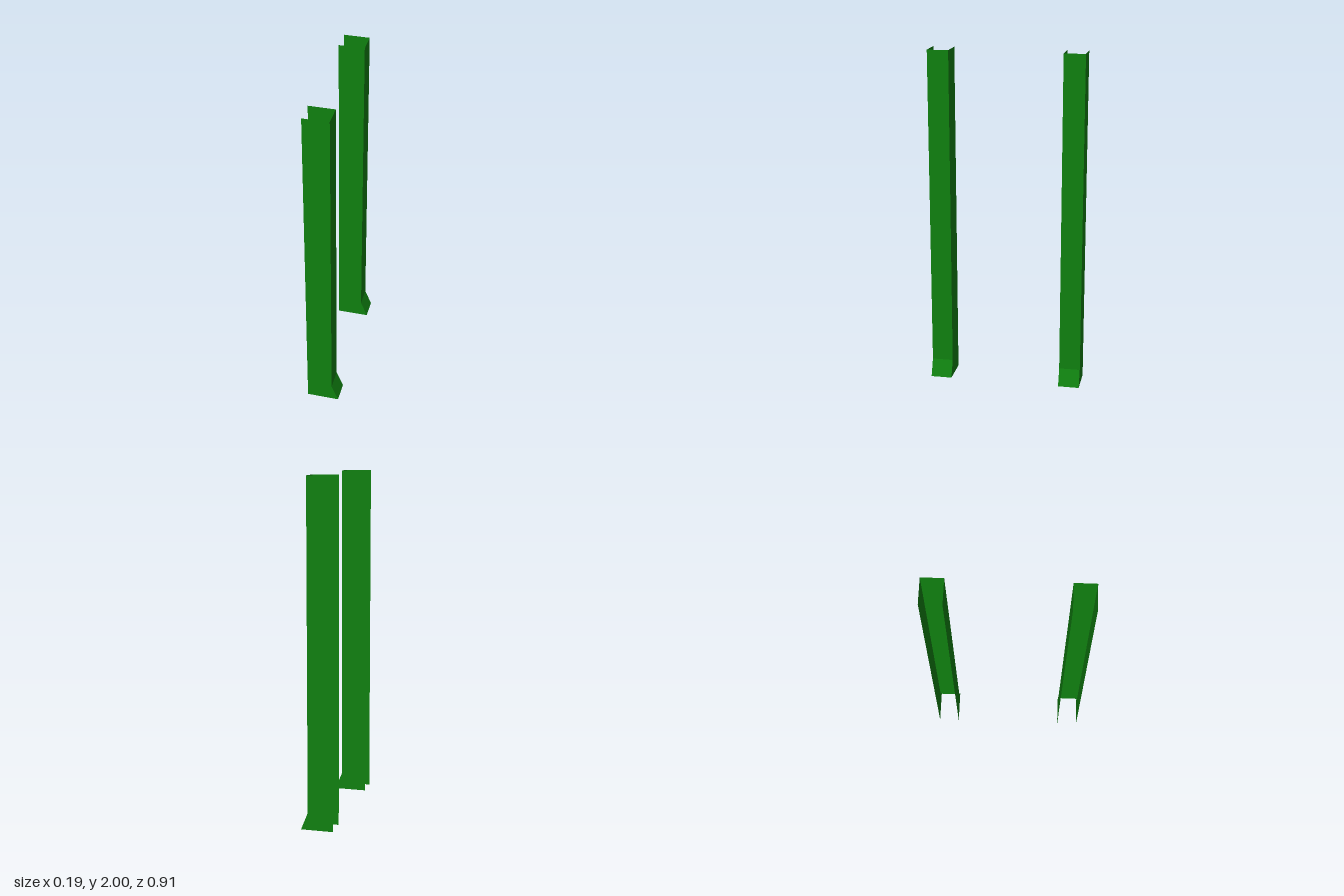
import * as THREE from 'three';

const HEIGHT = 2, KICK = 0.1;                  // post height, height of the flared foot
const BACK = -0.095, FRONT = 0.055, TOE = 0.095; // x of open edge, web and foot tip
const INNER = 0.33, OUTER = 0.455;             // z of the two flanges of a post

const green = new THREE.MeshStandardMaterial({
  color: 0x108010, flatShading: true, side: THREE.DoubleSide,
});

function addMesh(group, name, geometry) {
  const mesh = new THREE.Mesh(geometry, green);
  mesh.name = name;
  group.add(mesh);
  return mesh;
}

// Thin side plate whose lower front corner flares out
function flangeGeometry() {
  return new THREE.ShapeGeometry(new THREE.Shape([
    new THREE.Vector2(BACK, 0),
    new THREE.Vector2(TOE, 0),
    new THREE.Vector2(FRONT, KICK),
    new THREE.Vector2(FRONT, HEIGHT),
    new THREE.Vector2(BACK, HEIGHT),
  ]));
}

// Thin plate joining the flanges, bent outward at the foot
function webGeometry() {
  const geometry = new THREE.PlaneGeometry(OUTER - INNER, HEIGHT, 1, 2).rotateY(Math.PI / 2);
  const p = geometry.attributes.position;
  const rows = [[FRONT, HEIGHT], [FRONT, KICK], [TOE, 0]];
  for (let i = 0; i < p.count; i++) {
    const [x, y] = rows[Math.floor(i / 2)];
    p.setXY(i, x, y);
  }
  geometry.computeVertexNormals();
  return geometry;
}

// Channel post, open at the back, top and bottom
function createPost(name, side) {
  const post = new THREE.Group();
  post.name = name;
  addMesh(post, 'innerFlange', flangeGeometry()).position.z = side * INNER;
  addMesh(post, 'outerFlange', flangeGeometry()).position.z = side * OUTER;
  addMesh(post, 'web', webGeometry()).position.z = side * (INNER + OUTER) / 2;
  return post;
}

export function createModel() {
  const model = new THREE.Group();
  model.name = 'channelPosts';
  model.add(createPost('frontPost', 1), createPost('backPost', -1));
  return model;
}
